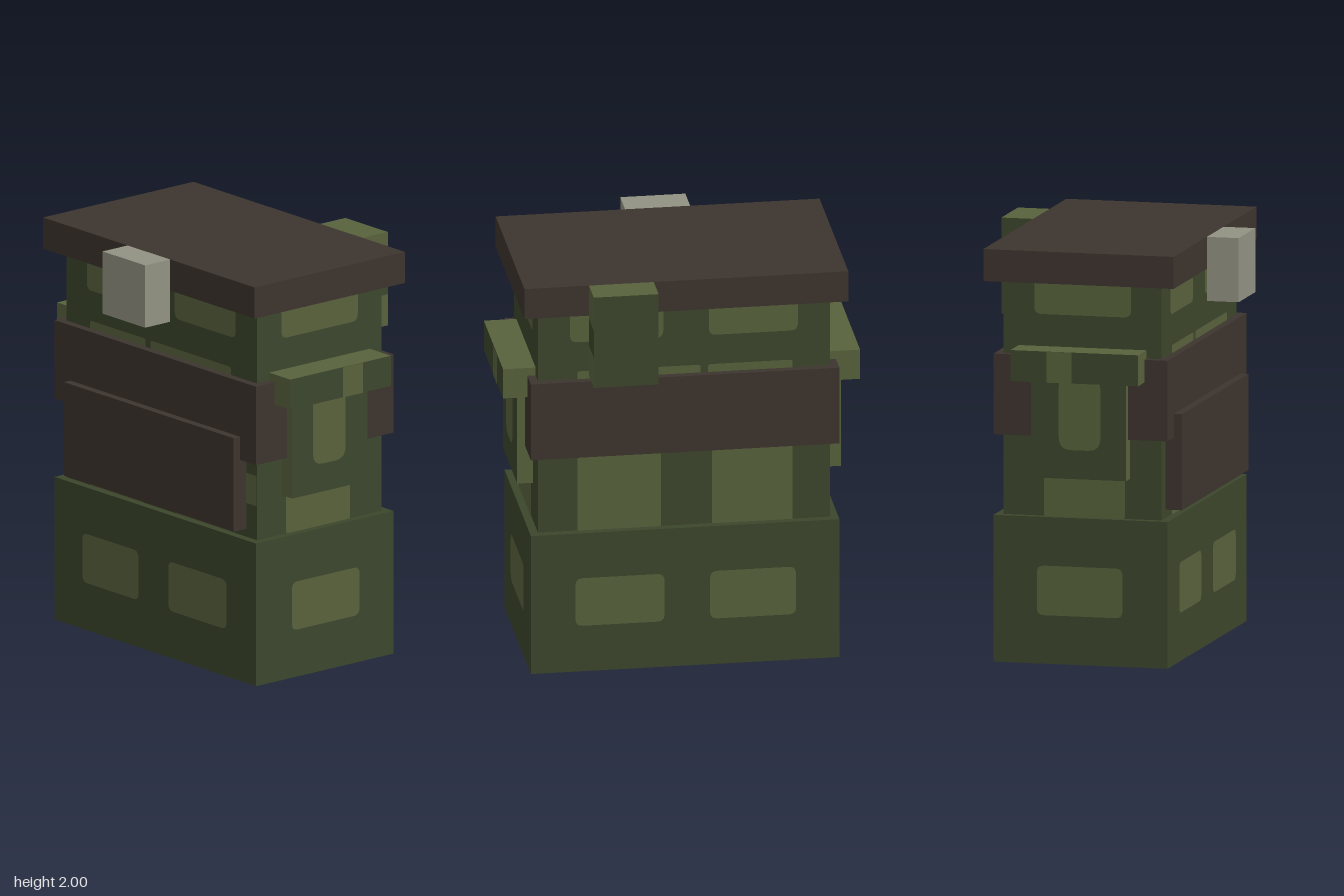
import * as THREE from 'three';

const mat = (name, color) => {
  const m = new THREE.MeshStandardMaterial({ color });
  m.name = name;
  return m;
};

export function createModel() {
  const group = new THREE.Group();
  const dark = mat('dark green cloth', 0x3c462c);
  const olive = mat('olive cloth', 0x58623c);
  const brown = mat('dark brown leather', 0x3d342e);
  const grey = mat('grey buckle', 0x929283);

  // Box given by its minimum and maximum corners
  const box = (name, [x0, y0, z0], [x1, y1, z1], material) => {
    const mesh = new THREE.Mesh(new THREE.BoxGeometry(x1 - x0, y1 - y0, z1 - z0), material);
    mesh.position.set((x0 + x1) / 2, (y0 + y1) / 2, (z0 + z1) / 2);
    mesh.name = name;
    group.add(mesh);
  };

  // Rounded flat patch; u is x on front/back and z on the sides
  const turn = { front: 0, back: Math.PI, left: Math.PI / 2, right: -Math.PI / 2 };
  const patch = (name, face, depth, u0, u1, y0, y1, r = 0.035) => {
    const w = (u1 - u0) / 2, h = (y1 - y0) / 2;
    const s = new THREE.Shape();
    s.moveTo(-w + r, -h);
    s.lineTo(w - r, -h);
    s.quadraticCurveTo(w, -h, w, -h + r);
    s.lineTo(w, h - r);
    s.quadraticCurveTo(w, h, w - r, h);
    s.lineTo(-w + r, h);
    s.quadraticCurveTo(-w, h, -w, h - r);
    s.lineTo(-w, -h + r);
    s.quadraticCurveTo(-w, -h, -w + r, -h);
    const mesh = new THREE.Mesh(new THREE.ShapeGeometry(s, 4), olive);
    const u = (u0 + u1) / 2, y = (y0 + y1) / 2, d = depth + 0.003;
    mesh.rotation.y = turn[face];
    if (face === 'front') mesh.position.set(u, y, d);
    else if (face === 'back') mesh.position.set(u, y, -d);
    else mesh.position.set(face === 'left' ? d : -d, y, u);
    mesh.name = name;
    group.add(mesh);
  };

  // Main body, from the bottom up
  box('lowerBag', [-0.745, 0, -0.43], [0.745, 0.71, 0.43], dark);
  box('upperBag', [-0.705, 0.71, -0.39], [0.705, 1.845, 0.39], dark);
  box('belt', [-0.745, 1.10, -0.43], [0.745, 1.49, 0.43], brown);
  box('frontFlap', [-0.627, 0.75, 0.385], [0.627, 1.215, 0.47], brown);
  box('lid', [-0.782, 1.845, -0.47], [0.782, 2, 0.47], brown);
  box('buckle', [-0.157, 1.69, 0.47], [0.157, 2, 0.627], grey);

  // Small pouch hung on the back, with a banded outer side
  const bands = [[1.535, 1.69, olive, dark], [1.69, 1.83, dark, dark], [1.83, 2, olive, olive]];
  for (const [y0, y1, side, top] of bands)
    box('backPouch', [0.157, y0, -0.627], [0.47, y1, -0.47], [side, dark, top, dark, dark, dark]);

  // Side pockets with overhanging caps
  for (const [face, s] of [['left', 1], ['right', -1]]) {
    const span = (a, b) => (s > 0 ? [a, b] : [-b, -a]);
    const [p0, p1] = span(0.70, 0.782);
    const [c0, c1] = span(0.70, 0.862);
    box('sidePocket', [p0, 0.905, -0.235], [p1, 1.40, 0.235], [dark, dark, dark, dark, olive, olive]);
    box('pocketCap', [c0, 1.38, -0.315], [c1, 1.53, 0.315], [dark, dark, olive, dark, olive, olive]);
    patch('pocketPatch', face, 0.782, -0.097, 0.108, 1.045, 1.41, 0.06);
    patch('capStripe', face, 0.862, -0.137, -0.012, 1.38, 1.53, 0.001);
    patch('lowerSidePatch', face, 0.43 + 0.315, -0.215, 0.208, 0.235, 0.475);
    patch('middleSidePatch', face, 0.705, -0.19, 0.21, 0.71, 1.0, 0.01);
    patch('upperSidePatch', face, 0.705, -0.238, 0.24, 1.685, 1.88);
  }

  // Camouflage patches on the front and back
  for (const face of ['front', 'back']) {
    for (const [u0, u1] of [[-0.535, -0.12], [0.10, 0.53]]) {
      patch('lowerPatch', face, 0.43, u0, u1, 0.235, 0.48);
      patch('middlePatch', face, 0.39, u0 + 0.01, u1 - 0.015, 0.71, 1.12, 0.005);
    }
    patch('strapPatch', face, 0.39, -0.525, -0.115, 1.45, 1.53, 0.015);
    patch('strapPatch', face, 0.39, -0.08, 0.515, 1.45, 1.53, 0.015);
    patch('upperPatch', face, 0.39, -0.55, -0.12, 1.68, 1.88);
    patch('upperPatch', face, 0.39, 0.10, 0.55, 1.68, 1.88);
  }
  patch('frontEdgePatch', 'front', 0.39, 0.55, 0.705, 0.88, 1.03, 0.005);

  // Worn corners under the base
  for (const s of [1, -1]) {
    const spot = new THREE.Mesh(new THREE.CircleGeometry(0.1, 8, 0, Math.PI / 2), brown);
    spot.rotation.set(Math.PI / 2, 0, s > 0 ? Math.PI / 2 : -Math.PI / 2);
    spot.position.set(s * 0.745, 0.0, -s * 0.43);
    spot.position.y = -0.002;
    spot.name = 'baseCorner';
    group.add(spot);
  }

  return group;
}
